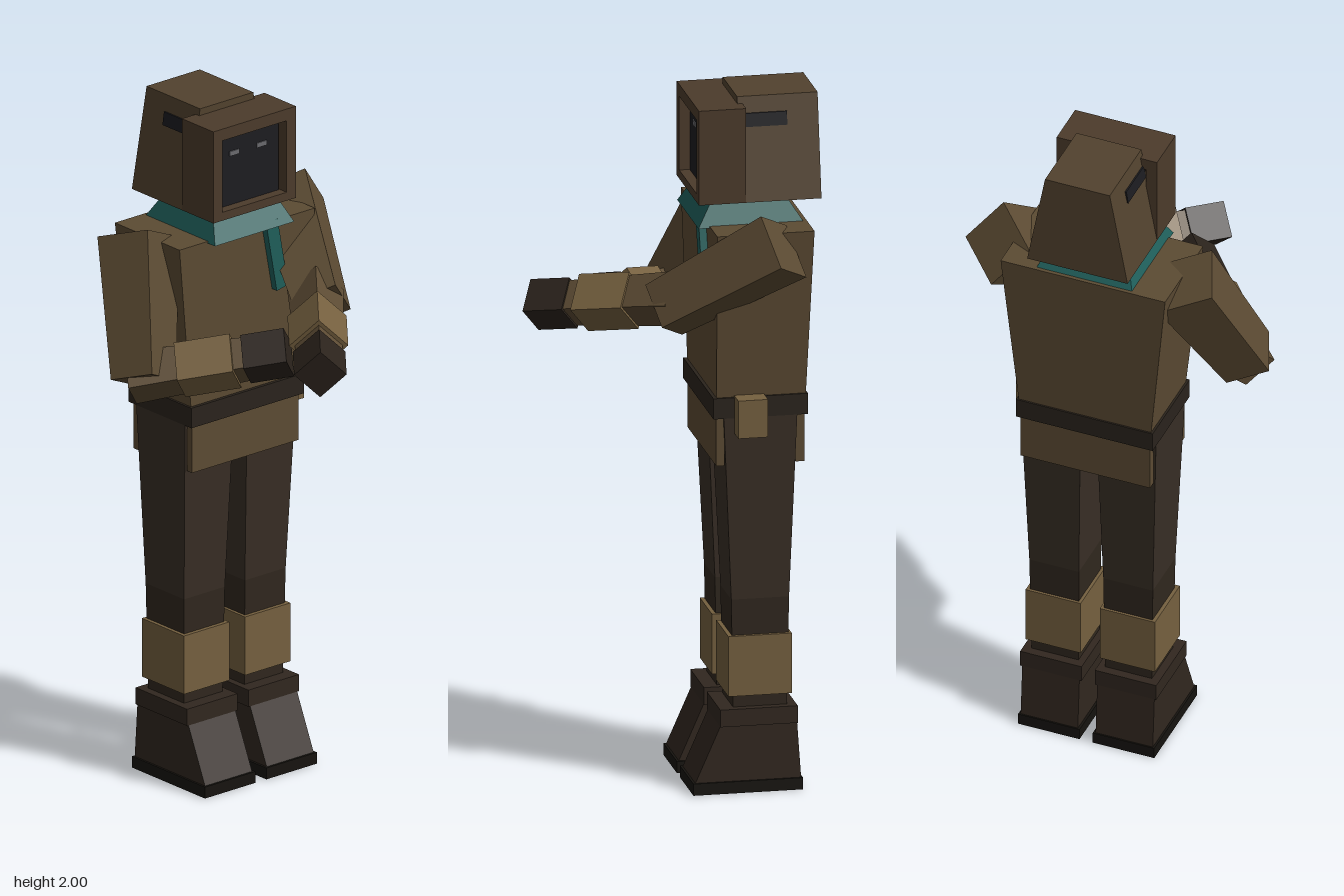
import * as THREE from 'three';

const CX = 0.027; // body's own centre line
const C = {
  coat: 0x5c4b33, hood: 0x52422e, frame: 0x4c3b2b, pad: 0x75603f, leg: 0x382e25, shin: 0x30271e,
  boot: 0x31271f, belt: 0x2a231c, sole: 0x16130f, glove: 0x2b231c, scarf: 0x1f5f5b, face: 0x1c1c20, eye: 0x6a6a6e,
};

const mats = {};
function mat(key) {
  return (mats[key] ??= new THREE.MeshStandardMaterial({ color: C[key], flatShading: true }));
}

// Box whose bottom and top rectangles may differ; each is [x0, x1, z0, z1]
function block(name, key, y0, y1, bottom, top = bottom) {
  const g = new THREE.BoxGeometry(1, 1, 1);
  const p = g.attributes.position;
  for (let i = 0; i < p.count; i++) {
    const up = p.getY(i) > 0;
    const r = up ? top : bottom;
    p.setXYZ(i, p.getX(i) > 0 ? r[1] : r[0], up ? y1 : y0, p.getZ(i) > 0 ? r[3] : r[2]);
  }
  g.computeVertexNormals();
  const m = new THREE.Mesh(g, mat(key));
  m.name = name;
  return m;
}

// Tapered box from point a to point b; sizes are [width, depth], side hints the width direction
function limb(name, key, a, b, s0, s1, side, roll = 0) {
  const len = a.distanceTo(b);
  const rect = ([w, d]) => [-w / 2, w / 2, -d / 2, d / 2];
  const m = block(name, key, 0, len, rect(s0), rect(s1));
  const y = b.clone().sub(a).normalize();
  const z = new THREE.Vector3().crossVectors(side, y).normalize();
  const x = new THREE.Vector3().crossVectors(y, z);
  m.quaternion.setFromRotationMatrix(new THREE.Matrix4().makeBasis(x, y, z));
  m.rotateY(roll);
  m.position.copy(a);
  return m;
}

const V = (x, y, z) => new THREE.Vector3(x, y, z);
const sym = (w, z0, z1) => [CX - w, CX + w, z0, z1];

function group(name, ...parts) {
  const g = new THREE.Group();
  g.name = name;
  g.add(...parts);
  return g;
}

// Hood with slits, open front frame, dark face and eyes
function makeHead() {
  const head = group('head',
    block('hoodBack', 'hood', 1.705, 2.0, sym(0.152, -0.405, -0.175), sym(0.098, -0.405, -0.175)),
    block('face', 'face', 1.73, 1.94, sym(0.114, -0.17, -0.085)));

  const outline = new THREE.Shape();
  const rect = (s, x0, x1, y0, y1) =>
    s.moveTo(x0, y0).lineTo(x1, y0).lineTo(x1, y1).lineTo(x0, y1).closePath();
  rect(outline, CX - 0.152, CX + 0.152, 1.705, 1.98);
  const hole = new THREE.Path();
  rect(hole, CX - 0.118, CX + 0.118, 1.73, 1.945);
  outline.holes.push(hole);
  const frame = new THREE.Mesh(
    new THREE.ExtrudeGeometry(outline, { depth: 0.135, bevelEnabled: false }), mat('frame'));
  frame.position.z = -0.19;
  frame.name = 'hoodFrame';
  head.add(frame);

  for (const s of [-1, 1]) {
    const slit = (d) => {
      const x = CX + s * d;
      return [x - 0.008, x + 0.008, -0.315, -0.185];
    };
    head.add(block('hoodSlit', 'face', 1.915, 1.953, slit(0.109), slit(0.103)));
    const ex = CX + s * 0.05;
    head.add(block('eye', 'eye', 1.877, 1.891, [ex - 0.018, ex + 0.018, -0.09, -0.082]));
  }
  return head;
}

function makeTorso() {
  return group('torso',
    block('coat', 'coat', 1.15, 1.64, sym(0.2, -0.35, -0.095), sym(0.249, -0.365, -0.087)),
    block('scarf', 'scarf', 1.635, 1.71, sym(0.146, -0.357, -0.055), sym(0.115, -0.31, -0.1)),
    limb('scarfTail', 'scarf', V(0.1, 1.65, -0.078), V(0.142, 1.44, -0.082), [0.042, 0.025], [0.042, 0.025], V(1, 0, 0)),
    block('belt', 'belt', 1.095, 1.155, sym(0.207, -0.355, -0.085)),
    block('coatFrontFlap', 'coat', 0.955, 1.095, sym(0.196, -0.118, -0.095)),
    block('coatBackFlap', 'coat', 0.955, 1.095, sym(0.196, -0.347, -0.322)),
    block('pouch', 'pad', 1.05, 1.16, [0.222, 0.286, -0.23, -0.145]));
}

// Trouser leg, shin guard and boot
function makeLeg(name, s) {
  const r = (a, b, z0, z1) => (s > 0 ? [CX + a, CX + b, z0, z1] : [CX - b, CX - a, z0, z1]);
  return group(name,
    block('thigh', 'leg', 0.56, 1.1, r(0.037, 0.187, -0.305, -0.14), r(0.024, 0.205, -0.325, -0.115)),
    block('shin', 'shin', 0.24, 0.56, r(0.04, 0.182, -0.3, -0.146), r(0.037, 0.187, -0.305, -0.14)),
    block('shinGuard', 'pad', 0.28, 0.455, r(0.029, 0.196, -0.311, -0.13)),
    block('bootCuff', 'boot', 0.195, 0.245, r(0.02, 0.206, -0.326, -0.105)),
    block('boot', 'boot', 0.03, 0.2, r(0.027, 0.2, -0.337, -0.033), r(0.027, 0.2, -0.325, -0.108)),
    block('sole', 'sole', 0, 0.034, r(0.02, 0.206, -0.341, -0.028)));
}

// Upper arm, then a forearm rolled onto its edge with a guard and glove;
// the guard and glove centres fix the forearm's line
function makeArm(name, shoulder, elbow, side, guard, glove) {
  const dir = glove.clone().sub(guard).normalize();
  const at = (c, t) => c.clone().addScaledVector(dir, t);
  const up = V(0, 1, 0);
  const level = new THREE.Vector3().crossVectors(up, dir).normalize();
  const seg = (n, key, c, t0, t1, s0, s1 = s0) =>
    limb(n, key, at(c, t0), at(c, t1), [s0, s0], [s1, s1], level, Math.PI / 4);
  return group(name,
    limb('upperArm', 'coat', shoulder, elbow, [0.164, 0.166], [0.135, 0.132], side),
    seg('forearm', 'coat', guard, -0.22, 0.13, 0.112, 0.092),
    seg('forearmGuard', 'pad', guard, -0.08, 0.08, 0.117),
    seg('glove', 'glove', glove, -0.062, 0.062, 0.104));
}

export function createModel() {
  return group('hoodedFigure',
    makeHead(),
    makeTorso(),
    makeLeg('leftLeg', 1),
    makeLeg('rightLeg', -1),
    makeArm('rightArm', V(-0.235, 1.636, -0.251), V(-0.356, 1.286, -0.085), V(0.36, 0.274, 0.89),
      V(-0.222, 1.33, 0.033), V(-0.105, 1.365, 0.153)),
    makeArm('leftArm', V(0.327, 1.615, -0.266), V(0.185, 1.409, 0.047), V(-0.1, 0.125, 0.037),
      V(0.06, 1.405, 0.178), V(-0.048, 1.375, 0.312)));
}
